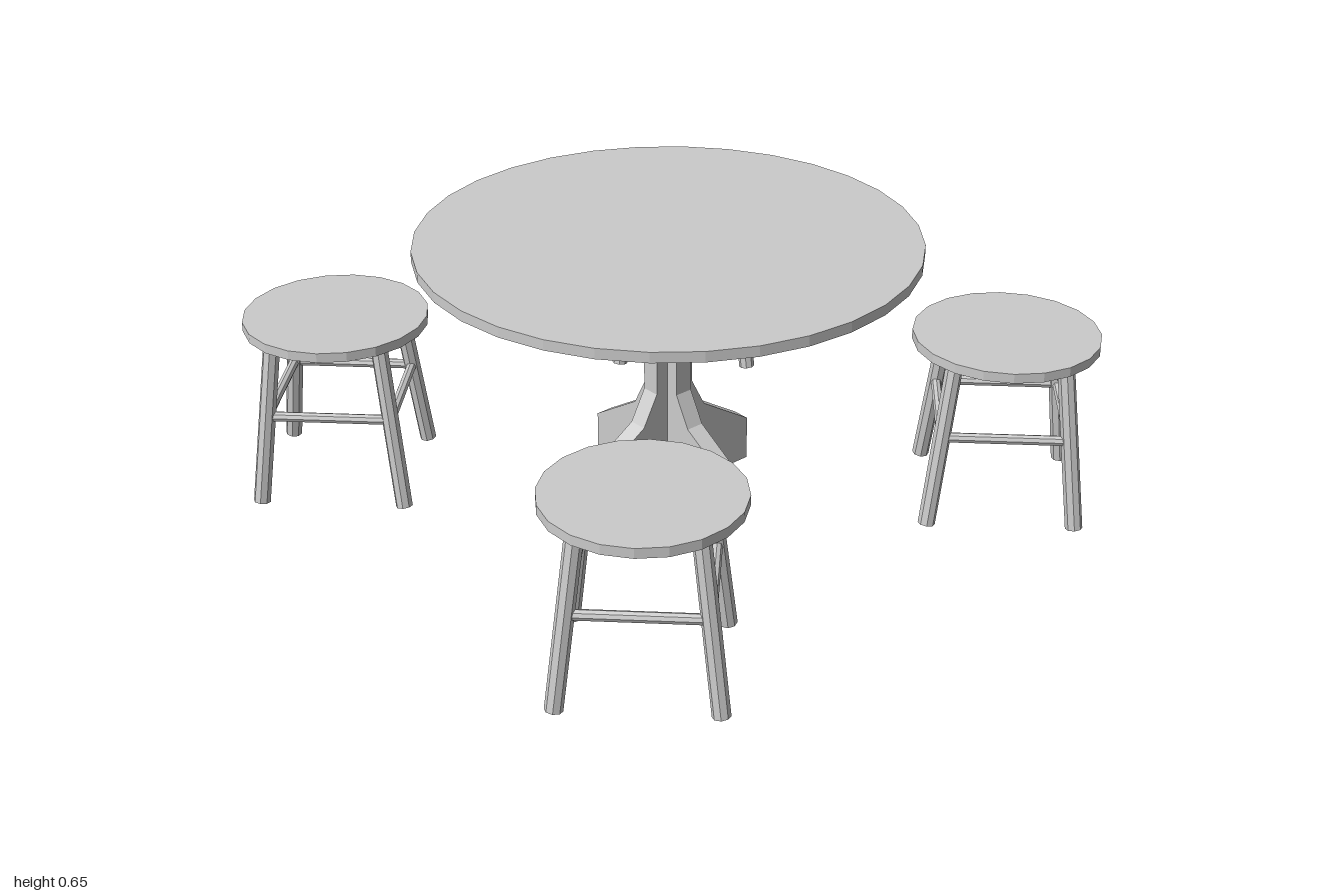
import * as THREE from 'three';

const material = new THREE.MeshStandardMaterial({ color: 0xcccccc, flatShading: true });

function addMesh(parent, name, geometry) {
  const mesh = new THREE.Mesh(geometry, material);
  mesh.name = name;
  parent.add(mesh);
  return mesh;
}

// Round bar running from point a to point b
function addBar(parent, name, a, b, radius, sides) {
  const dir = b.clone().sub(a);
  const bar = addMesh(parent, name, new THREE.CylinderGeometry(radius, radius, dir.length(), sides));
  bar.position.copy(a).add(b).multiplyScalar(0.5);
  bar.quaternion.setFromUnitVectors(new THREE.Vector3(0, 1, 0), dir.normalize());
}

function addDisc(parent, name, radius, bottom, top, sides) {
  const disc = addMesh(parent, name, new THREE.CylinderGeometry(radius, radius, top - bottom, sides));
  disc.position.y = (bottom + top) / 2;
}

function createTable() {
  const table = new THREE.Group();
  table.name = 'table';
  addDisc(table, 'tableTop', 0.585, 0.625, 0.65, 32);

  // Pedestal: two flared panels crossing on the diagonals
  const half = [[0.238, 0], [0.238, 0.11], [0.095, 0.2], [0.055, 0.275], [0.055, 0.626]];
  const outline = [...half, ...half.map(([x, y]) => [-x, y]).reverse()];
  const shape = new THREE.Shape(outline.map(([x, y]) => new THREE.Vector2(x, y)));
  const thickness = 0.045;
  const panel = new THREE.ExtrudeGeometry(shape, { depth: thickness, bevelEnabled: false });
  panel.translate(0, 0, -thickness / 2);
  for (const side of [-1, 1]) {
    addMesh(table, 'pedestalPanel', panel).rotation.y = side * Math.PI / 4;
  }
  return table;
}

function createStool() {
  const stool = new THREE.Group();
  stool.name = 'stool';
  addDisc(stool, 'seat', 0.217, 0.415, 0.438, 20);

  // Splayed legs on the diagonals, joined by a square of stretchers
  const corners = [[1, 1], [1, -1], [-1, -1], [-1, 1]];
  const legPoint = ([sx, sz], y) => {
    const offset = THREE.MathUtils.mapLinear(y, 0.02, 0.42, 0.17, 0.124);
    return new THREE.Vector3(sx * offset, y, sz * offset);
  };
  corners.forEach((corner, i) => {
    const next = corners[(i + 1) % 4];
    addBar(stool, 'leg', legPoint(corner, 0.02), legPoint(corner, 0.42), 0.02, 8);
    addBar(stool, 'stretcher', legPoint(corner, 0.235), legPoint(next, 0.235), 0.012, 8);
  });
  return stool;
}

export function createModel() {
  const model = new THREE.Group();
  model.name = 'tableWithStools';
  model.add(createTable());

  // One stool on each side of the table
  for (const [x, z] of [[1, 0], [0, 1], [-1, 0], [0, -1]]) {
    const stool = createStool();
    stool.position.set(x * 0.783, 0, z * 0.783);
    model.add(stool);
  }
  return model;
}
